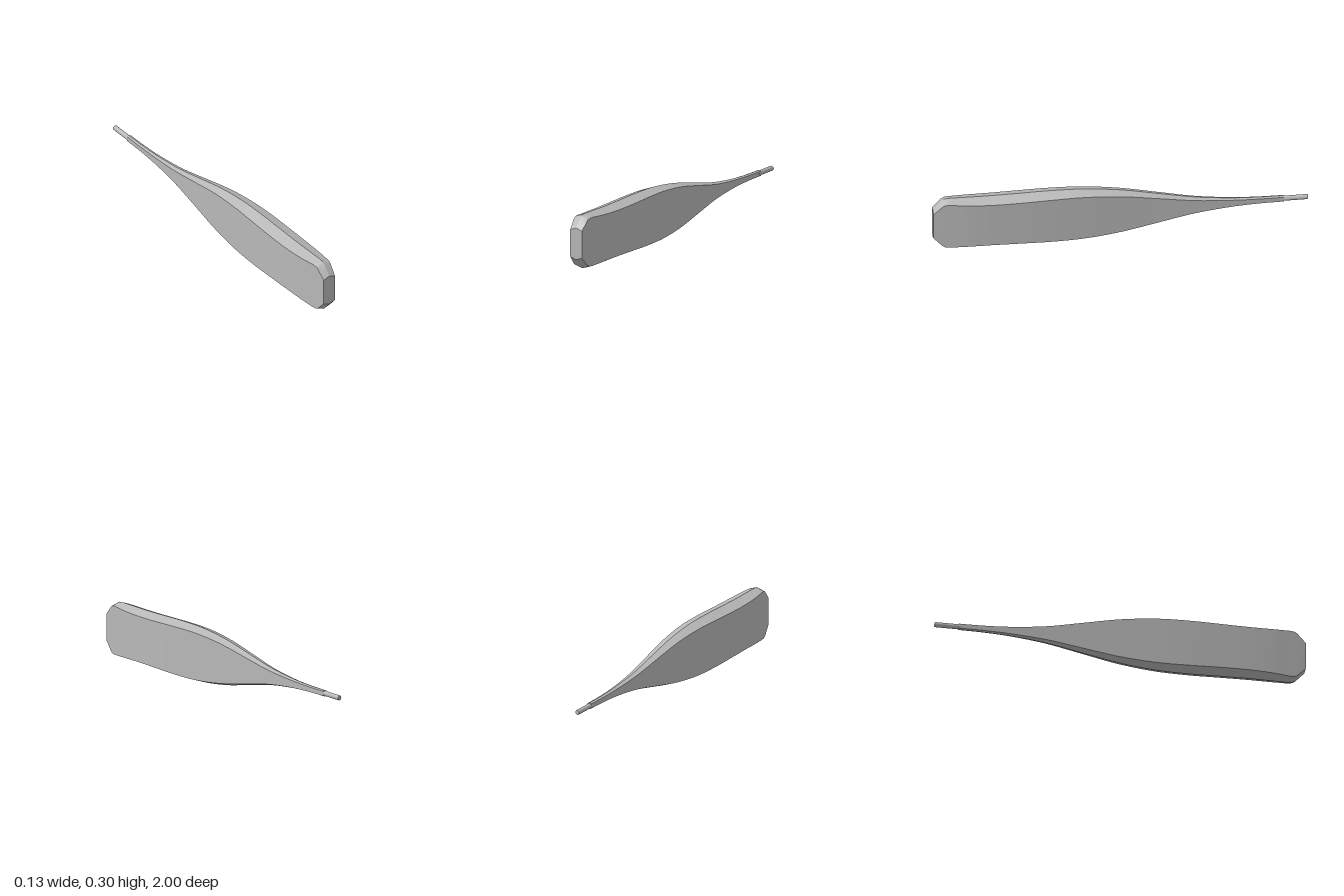
import * as THREE from 'three';

const MID = 0.154; // height of the long axis

// Blade stations: z, half width, half height at the ridge
const STATIONS = [
  [-0.87, 0.012, 0.017], [-0.75, 0.013, 0.018], [-0.6, 0.016, 0.025], [-0.4, 0.024, 0.047],
  [-0.2, 0.034, 0.086], [0, 0.045, 0.125], [0.2, 0.056, 0.147], [0.38, 0.063, 0.151],
  [0.55, 0.065, 0.148], [0.7, 0.063, 0.146], [0.82, 0.057, 0.147], [0.91, 0.047, 0.148],
];
// Rounded corner running down to the flat front face
const NOSE = [[0.935, 0.0445, 0.146], [0.95, 0.0425, 0.139], [0.975, 0.0395, 0.113], [1, 0.036, 0.086]];

// Six-sided cross-section, counter-clockwise seen from the front
function section([z, w, h]) {
  const e = h - 0.34 * w;
  return [[w, -e], [w, e], [0, h], [-w, e], [-w, -e], [0, -h]].map(([x, y]) => [x, y + MID, z]);
}

function makeGeometry(points, index) {
  const g = new THREE.BufferGeometry();
  g.setAttribute('position', new THREE.Float32BufferAttribute(points.flat(), 3));
  g.setIndex(index);
  g.computeVertexNormals();
  return g;
}

export function createModel() {
  const group = new THREE.Group();
  const grey = new THREE.MeshStandardMaterial({ color: 0xb8b8b8 });
  grey.name = 'grey';
  const add = (name, geometry, parent = group) => {
    const mesh = new THREE.Mesh(geometry, grey);
    mesh.name = name;
    parent.add(mesh);
    return mesh;
  };

  const curve = new THREE.CatmullRomCurve3(STATIONS.map((s) => new THREE.Vector3(...s)));
  const rings = [...curve.getPoints(55).map((p) => [p.z, p.y, p.x]).map(([h, w, z]) => [z, w, h]), ...NOSE].map(section);

  // Blade: one strip per side, smooth along its length and sharp between sides
  const blade = new THREE.Group();
  blade.name = 'blade';
  group.add(blade);
  const names = ['leftSide', 'topLeftBevel', 'topRightBevel', 'rightSide', 'bottomRightBevel', 'bottomLeftBevel'];
  names.forEach((name, k) => {
    const points = rings.flatMap((r) => [r[k], r[(k + 1) % 6]]);
    const index = [];
    for (let i = 0; i < rings.length - 1; i++) {
      const a = 2 * i;
      index.push(a, a + 2, a + 1, a + 1, a + 2, a + 3);
    }
    // Corner order must face outward
    for (let i = 0; i < index.length; i += 3) [index[i + 1], index[i + 2]] = [index[i + 2], index[i + 1]];
    add(name, makeGeometry(points, index), blade);
  });

  // Flat ends of the blade
  const fan = [0, 1, 2, 0, 2, 3, 0, 3, 4, 0, 4, 5];
  add('frontFace', makeGeometry(rings[rings.length - 1], fan), blade);
  add('backFace', makeGeometry(rings[0], [...fan].reverse()), blade);

  // Round pin at the narrow end, with a slightly softened tip
  const pin = add('pin', new THREE.LatheGeometry([
    [0, 0], [0.0135, 0], [0.0135, 0], [0.0135, 0.146], [0.0135, 0.146], [0.011, 0.15], [0.011, 0.15], [0, 0.15],
  ].map(([x, y]) => new THREE.Vector2(x, y)), 24));
  pin.rotation.x = -Math.PI / 2;
  pin.position.set(0, MID, -0.85);

  return group;
}
